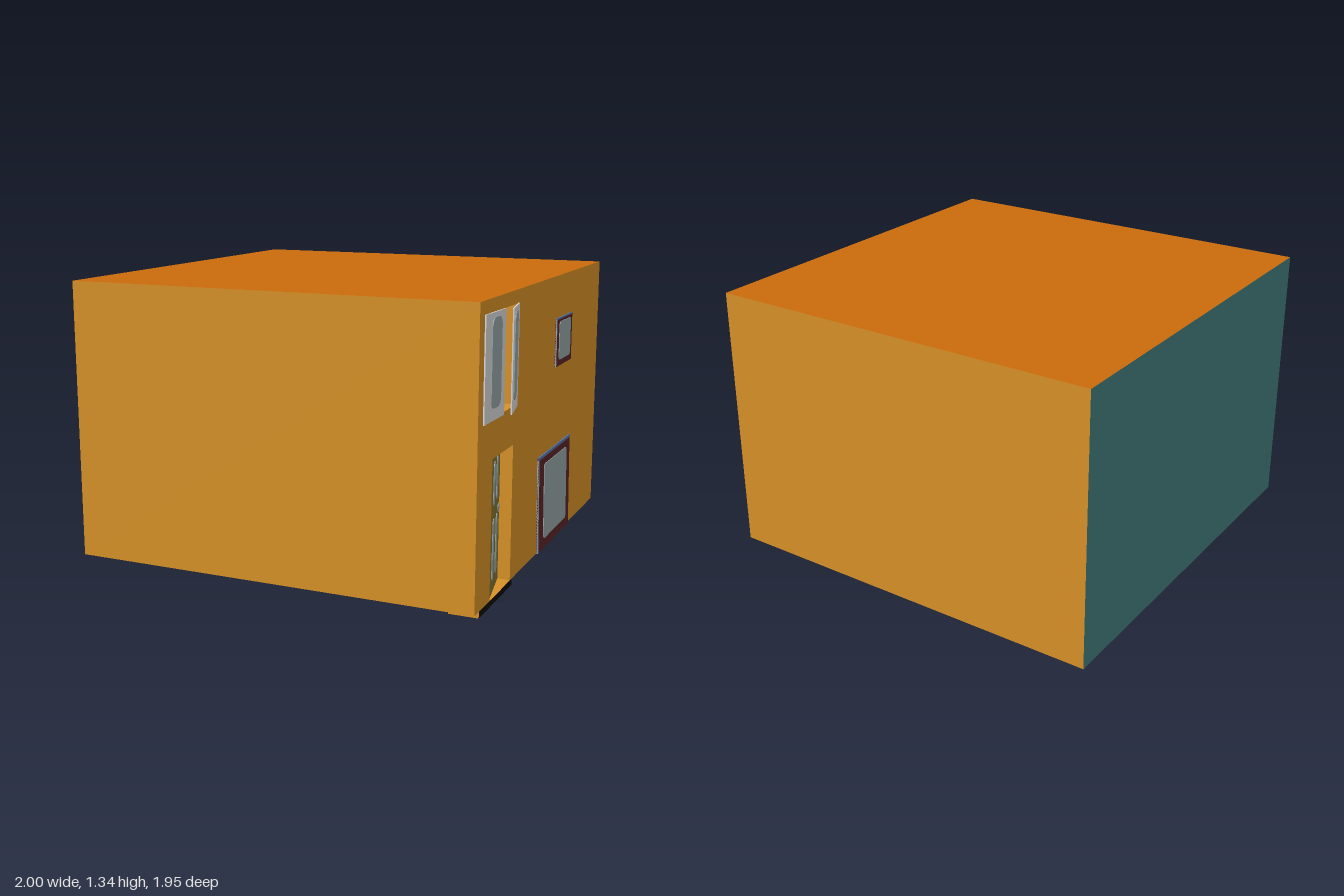
import * as THREE from 'three';

const mat = (name, color, side = THREE.FrontSide) => {
  const m = new THREE.MeshStandardMaterial({ color, side });
  m.name = name;
  return m;
};

export function createModel() {
  const ochre = mat('ochre wall', 0xd79127);
  const roofOrange = mat('roof orange', 0xca6c0d);
  const teal = mat('teal wall', 0x437f7e);
  const olive = mat('olive door', 0x83722f);
  const glass = mat('grey glass', 0x94a5a5);
  const white = mat('white shutter', 0xd8d8d8);
  const maroon = mat('maroon frame', 0x5b2224);
  const blue = mat('blue trim', 0x5674a8);
  const grey = mat('pale trim', 0x9aa6b0);
  const black = mat('black', 0x0a0a0a);

  const X0 = -1, X1 = 0.957, Y0 = 0.03, Y1 = 1.335, Z = 0.975;
  const W = X1 - X0, H = Y1 - Y0, CX = (X0 + X1) / 2, CY = (Y0 + Y1) / 2;
  const model = new THREE.Group();
  model.name = 'house';

  const add = (parent, name, geometry, material, x = 0, y = 0, z = 0, rx = 0, ry = 0) => {
    const mesh = new THREE.Mesh(geometry, material);
    mesh.name = name;
    mesh.position.set(x, y, z);
    mesh.rotation.set(rx, ry, 0);
    parent.add(mesh);
    return mesh;
  };
  const plane = (w, h) => new THREE.PlaneGeometry(w, h);
  const box = (w, h, d) => new THREE.BoxGeometry(w, h, d);

  // Shell, without the side that holds the door and windows
  add(model, 'frontWall', plane(W, H), ochre, CX, CY, Z);
  add(model, 'backWall', plane(W, H), ochre, CX, CY, -Z, 0, Math.PI);
  add(model, 'rightWall', plane(2 * Z, H), teal, X0, CY, 0, 0, -Math.PI / 2);
  add(model, 'roof', plane(W, 2 * Z), roofOrange, CX, Y1, 0, -Math.PI / 2);
  add(model, 'floor', plane(W, 2 * Z), ochre, CX, Y0, 0, Math.PI / 2);

  // Facade: drawn flat facing local +z, then turned to face +x
  const facade = new THREE.Group();
  facade.name = 'facade';
  facade.position.x = X1;
  facade.rotation.y = Math.PI / 2;
  model.add(facade);

  const rect = (Type, x0, y0, x1, y1) => new Type([
    [x0, y0], [x1, y0], [x1, y1], [x0, y1]].map(p => new THREE.Vector2(...p)));
  const openings = [
    { name: 'door', x0: -0.78, y0: 0.031, x1: -0.495, y1: 0.655 },
    { name: 'shutter', x0: -0.91, y0: 0.83, x1: -0.47, y1: 1.275 },
  ];
  const wall = rect(THREE.Shape, -Z, Y0, Z, Y1);
  for (const o of openings) wall.holes.push(rect(THREE.Path, o.x0, o.y0, o.x1, o.y1));
  add(facade, 'leftWall', new THREE.ShapeGeometry(wall), ochre);

  // Recesses behind the openings
  const D = 0.09;
  for (const { name, x0, y0, x1, y1 } of openings) {
    const w = x1 - x0, h = y1 - y0, cx = (x0 + x1) / 2, cy = (y0 + y1) / 2;
    add(facade, name + 'RecessBack', plane(w, h), black, cx, cy, -D);
    add(facade, name + 'RecessSideA', plane(D, h), ochre, x0, cy, -D / 2, 0, Math.PI / 2);
    add(facade, name + 'RecessSideB', plane(D, h), ochre, x1, cy, -D / 2, 0, -Math.PI / 2);
    add(facade, name + 'RecessSill', plane(w, D), ochre, cx, y0, -D / 2, -Math.PI / 2);
    add(facade, name + 'RecessHead', plane(w, D), black, cx, y1, -D / 2, Math.PI / 2);
  }

  // Thin rounded plate
  const pane = (w, h, r) => {
    const s = new THREE.Shape(), a = w / 2 - r, b = h / 2 - r;
    s.absarc(a, b, r, 0, Math.PI / 2);
    s.absarc(-a, b, r, Math.PI / 2, Math.PI);
    s.absarc(-a, -b, r, Math.PI, Math.PI * 1.5);
    s.absarc(a, -b, r, Math.PI * 1.5, Math.PI * 2);
    return new THREE.ExtrudeGeometry(s, { depth: 0.003, bevelEnabled: false, curveSegments: 6 });
  };
  const hinge = (name, x, y, z, angle) => {
    const g = new THREE.Group();
    g.name = name;
    g.position.set(x, y, z);
    g.rotation.y = angle;
    facade.add(g);
    return g;
  };

  // Door, ajar inwards
  const door = hinge('door', -0.78, 0, -0.008, 0.19);
  add(door, 'doorLeaf', box(0.28, 0.615, 0.012), olive, 0.14, 0.343, 0);
  for (const [x, y, w, h, tilt] of [
    [0.09, 0.525, 0.05, 0.195, -0.06], [0.185, 0.53, 0.045, 0.195, 0],
    [0.082, 0.233, 0.048, 0.275, -0.04], [0.188, 0.23, 0.048, 0.27, -0.04],
  ]) add(door, 'doorPanel', pane(w, h, w * 0.48), glass, x, y, 0.006).rotation.z = tilt;
  add(door, 'doorKnob', pane(0.045, 0.045, 0.022), glass, 0.246, 0.375, 0.006);

  // Pair of shutters, opened outwards by different amounts
  for (const [x, dir, w, angle, px, pw] of [
    [-0.465, -1, 0.212, 0.19, 0.118, 0.105],
    [-0.915, 1, 0.238, -0.03, 0.13, 0.115],
  ]) {
    const s = hinge('shutter', x, 1.052, 0.003, angle);
    add(s, 'shutterLeaf', box(w, 0.452, 0.006), white, dir * w / 2, 0, 0);
    add(s, 'shutterGlass', pane(pw, 0.38, 0.04), glass, dir * px, 0.015, 0.003);
  }

  // Framed windows, standing slightly off the wall
  for (const [name, x, y, z, w, h, gx, gy, gw, gh, tilt] of [
    ['largeWindow', 0.073, 0.298, 0.033, 0.545, 0.46, 0.015, 0, 0.39, 0.365, -0.015],
    ['smallWindow', 0.228, 1.022, 0.017, 0.277, 0.233, 0.007, 0.005, 0.2, 0.185, 0],
  ]) {
    const g = hinge(name, x, y, z, 0);
    g.rotation.x = tilt;
    add(g, 'windowFrame', box(w, h, 0.006), maroon);
    add(g, 'windowGlass', pane(gw, gh, 0.02), glass, gx, gy, 0.003);
    const t = w * 0.025;
    add(g, 'topTrim', box(w, t, 0.007), blue, 0, h / 2 - t / 2, 0.0005);
    add(g, 'sideTrim', box(t, h - t, 0.007), grey, -w / 2 + t / 2, -t / 2, 0.0005);
  }

  // Doorstep under the edge of the house
  add(model, 'doorstep', box(0.137, 0.029, 0.45), [black, ochre, ochre, ochre, ochre, ochre],
    0.8885, 0.0145, 0.693);
  return model;
}
